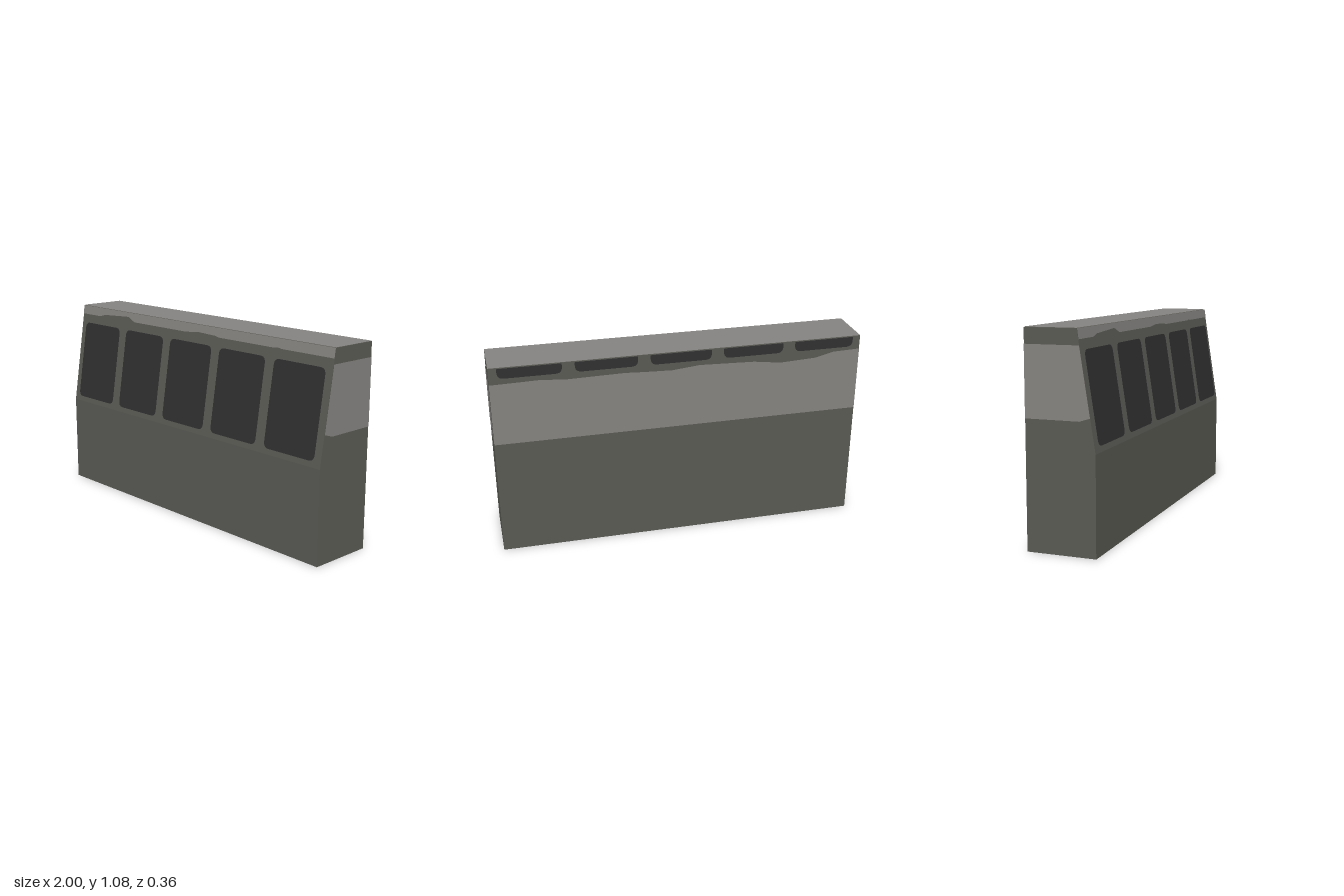
import * as THREE from 'three';

const W = 1, ZB = -0.18, ZF = 0.18, ZT = 0.09, YB = 0.5, YT = 1.08; // half width, depth and bend heights
const LEAN = Math.atan((ZF - ZT) / (YT - YB));
const GAP = 0.002; // plates float just off the walls

const frontZ = (y) => ZF - (y - YB) * Math.tan(LEAN);
const shapeOf = (pts) => new THREE.Shape(pts.map(([x, y]) => new THREE.Vector2(x, y)));

// Rectangle with separate bottom and top corner radii
function pane(cx, y0, y1, w, rb, rt) {
  const s = new THREE.Shape(), l = cx - w / 2, r = cx + w / 2;
  s.moveTo(l + rb, y0);
  s.lineTo(r - rb, y0);
  s.quadraticCurveTo(r, y0, r, y0 + rb);
  s.lineTo(r, y1 - rt);
  s.quadraticCurveTo(r, y1, r - rt, y1);
  s.lineTo(l + rt, y1);
  s.quadraticCurveTo(l, y1, l, y1 - rt);
  s.lineTo(l, y0 + rb);
  s.quadraticCurveTo(l, y0, l + rb, y0);
  return s;
}

export function createModel() {
  const darkPaint = new THREE.MeshStandardMaterial({ name: 'darkPaint', color: 0x5a5a54 });
  const lightPaint = new THREE.MeshStandardMaterial({ name: 'lightPaint', color: 0x858380 });
  const glass = new THREE.MeshStandardMaterial({ name: 'glass', color: 0x303030 });

  const model = new THREE.Group();
  model.name = 'wallSection';
  const add = (parent, name, geometry, material) => {
    const mesh = new THREE.Mesh(geometry, material);
    mesh.name = name;
    parent.add(mesh);
    return mesh;
  };
  const face = (name, x, y, z, rx, ry) => {
    const g = new THREE.Group();
    g.name = name;
    g.position.set(x, y, z);
    g.rotation.set(rx, ry, 0);
    model.add(g);
    return g;
  };
  const plate = (parent, name, shape, material, lift = 0) => {
    add(parent, name, new THREE.ShapeGeometry(shape, 6), material).position.z = lift;
  };

  // Body: side profile extruded across the width
  const profile = shapeOf([[-ZF, 0], [-ZB, 0], [-ZB, YT], [-ZT, YT], [-ZF, YB]]);
  const bodyGeo = new THREE.ExtrudeGeometry(profile, { depth: 2 * W, bevelEnabled: false });
  bodyGeo.rotateY(Math.PI / 2).translate(-W, 0, 0);
  add(model, 'body', bodyGeo, darkPaint);

  // Roof
  const roof = add(model, 'roof', new THREE.PlaneGeometry(2 * W, ZT - ZB), lightPaint);
  roof.rotation.x = -Math.PI / 2;
  roof.position.set(0, YT + GAP, (ZT + ZB) / 2);

  // Leaning front: uneven light strip above five windows
  const front = face('frontFace', 0, YB, ZF + GAP, -LEAN, 0);
  const up = (y) => (y - YB) / Math.cos(LEAN);
  const frontEdge = [[1, 1.03], [0.66, 1.03], [0.64, 1.034], [0.61, 1.03], [0.21, 1.03], [0.18, 1.036],
    [0.05, 1.04], [-0.05, 1.03], [-0.5, 1.03], [-0.56, 1.055], [-0.78, 1.043], [-0.83, 1.03], [-1, 1.03]];
  plate(front, 'frontTopStrip', shapeOf([[-W, up(YT)], [W, up(YT)], ...frontEdge.map(([x, y]) => [x, up(y)])]), lightPaint);

  // Back: light band with an uneven top edge, and low windows under the roof
  const back = face('backFace', 0, 0, ZB - GAP, 0, Math.PI);
  const backEdge = [[1, 1.005], [0.85, 1.0], [0.75, 0.975], [0.55, 0.965], [0.4, 0.985], [0.1, 0.995],
    [-0.05, 0.98], [-0.2, 0.985], [-0.3, 0.99], [-0.6, 0.985], [-0.75, 0.995], [-1, 0.99]];
  plate(back, 'backLightBand', shapeOf([[-W, 0.65], [W, 0.65], ...backEdge]), lightPaint);

  for (let i = -2; i <= 2; i++) {
    const x = i * 0.396;
    plate(front, 'frontWindow', pane(x, up(0.53), up(0.98), 0.335, 0.035, 0.035), glass, GAP);
    plate(back, 'backWindow', pane(x, 1.022, 1.077, 0.33, 0.035, 0.006), glass, GAP);
  }

  // Light bands on both ends
  for (const s of [1, -1]) {
    const end = face(s > 0 ? 'leftEnd' : 'rightEnd', s * (W + GAP), 0, 0, 0, s * Math.PI / 2);
    const band = [[ZB, 0.65], [0.1, 0.65], [0.14, 0.663], [frontZ(0.666), 0.666], [frontZ(1.002), 1.002], [ZB, 1.002]];
    plate(end, 'endLightBand', shapeOf(band.map(([z, y]) => [-s * z, y])), lightPaint);
  }
  return model;
}
